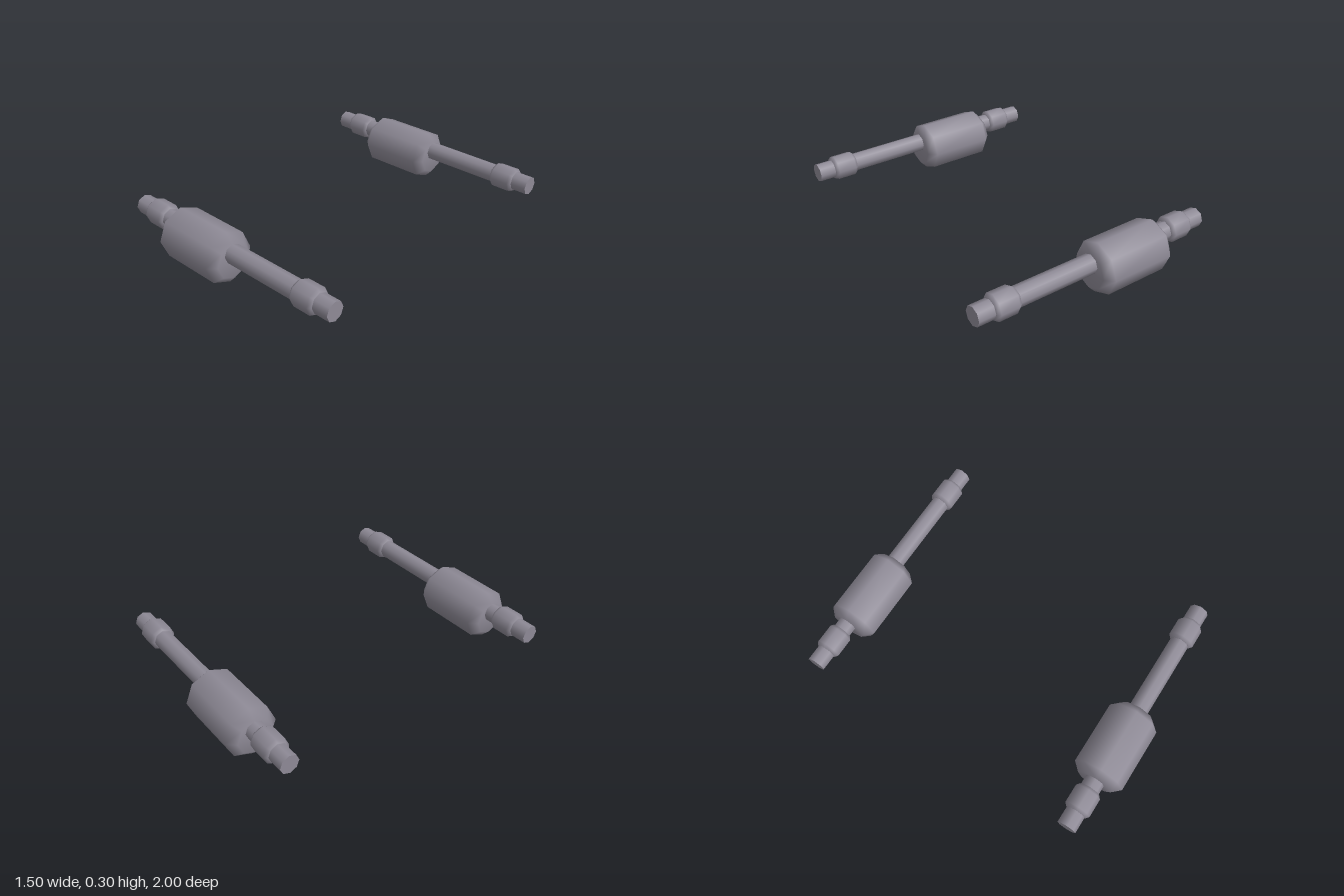
import * as THREE from 'three';

const SIDES = 8;

// Solid of revolution along x from [x, radius] pairs
function turned(name, profile, material) {
  const points = profile.map(([x, r]) => new THREE.Vector2(r, x));
  const geometry = new THREE.LatheGeometry(points, SIDES);
  geometry.rotateZ(-Math.PI / 2);
  const mesh = new THREE.Mesh(geometry, material);
  mesh.name = name;
  return mesh;
}

// Straight capped pipe with crisp ends
function pipe(name, length, radius, material) {
  const geometry = new THREE.CylinderGeometry(radius, radius, length, SIDES);
  geometry.rotateZ(-Math.PI / 2);
  const mesh = new THREE.Mesh(geometry, material);
  mesh.name = name;
  return mesh;
}

function createExhaust(name, material) {
  const exhaust = new THREE.Group();
  exhaust.name = name;
  const pipeY = 0.196;

  const mainPipe = pipe('pipe', 1.5, 0.056, material);
  mainPipe.position.y = pipeY;
  exhaust.add(mainPipe);

  // Large chamfered silencer, hung slightly below the pipe axis
  const silencer = turned('silencer', [
    [-0.45, 0], [-0.45, 0.105], [-0.405, 0.152],
    [-0.02, 0.152], [0.025, 0.105], [0.025, 0],
  ], material);
  silencer.position.y = 0.152;
  exhaust.add(silencer);

  // Small collars near both ends
  for (const x of [-0.58, 0.58]) {
    const collar = turned('collar', [
      [-0.073, 0.05], [-0.073, 0.062], [-0.055, 0.076],
      [0.055, 0.076], [0.073, 0.062], [0.073, 0.05],
    ], material);
    collar.position.set(x, pipeY, 0);
    exhaust.add(collar);
  }
  return exhaust;
}

export function createModel() {
  const model = new THREE.Group();
  model.name = 'exhaustPair';
  const metal = new THREE.MeshStandardMaterial({ color: 0x8e8a96 });
  metal.name = 'grey metal';

  // Two identical exhausts, front and back
  for (const [name, z] of [['frontExhaust', 0.848], ['backExhaust', -0.848]]) {
    const exhaust = createExhaust(name, metal);
    exhaust.position.z = z;
    model.add(exhaust);
  }
  return model;
}
